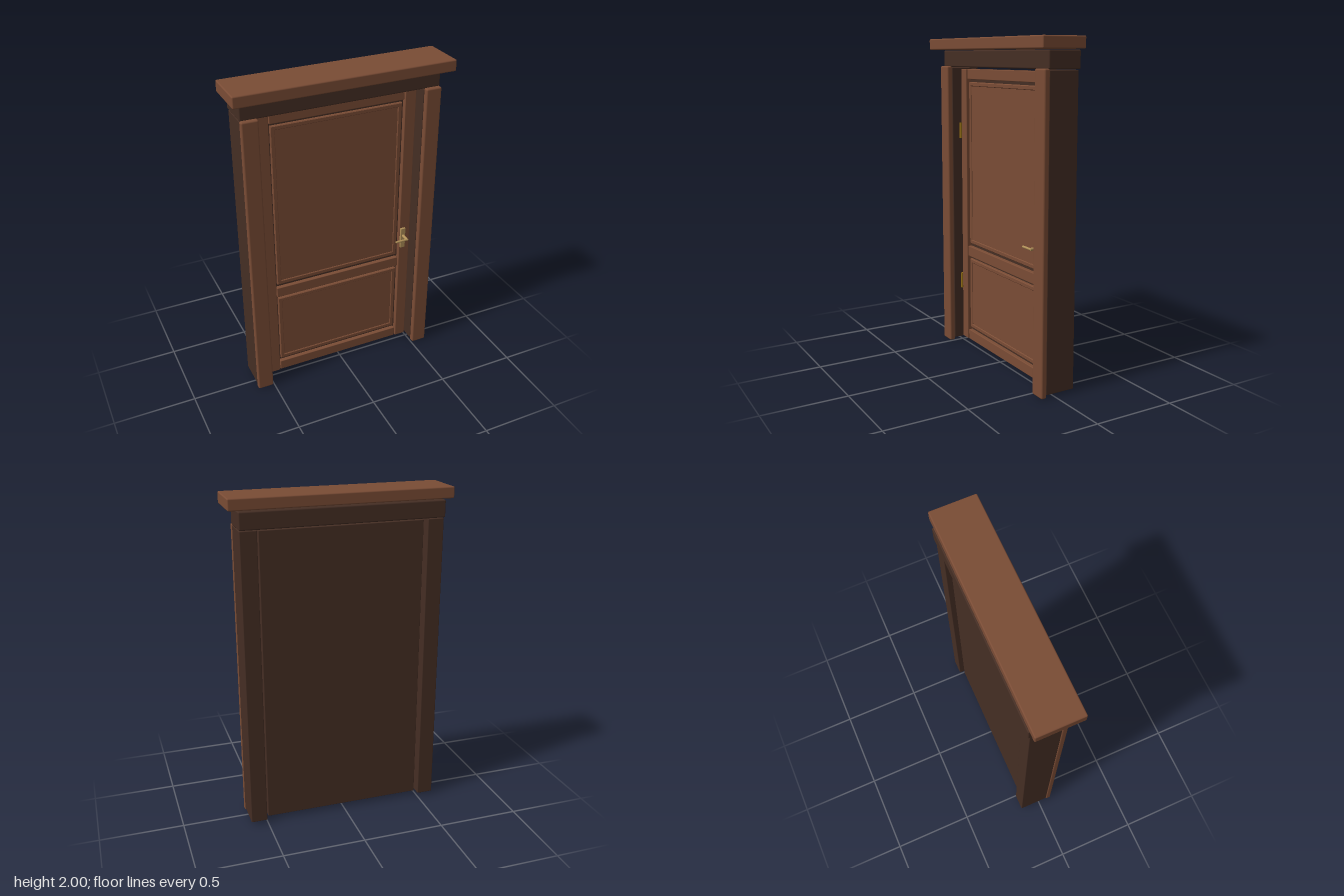
import * as THREE from 'three';
import { RoundedBoxGeometry } from 'three/addons/geometries/RoundedBoxGeometry.js';

const material = (name, color) => {
  const m = new THREE.MeshStandardMaterial({ color });
  m.name = name;
  return m;
};

export function createModel() {
  const wood = material('brown wood', 0x7a4c35);
  const dark = material('dark wood', 0x452e24);
  const brass = material('brass', 0xb09058);
  const gold = material('hinge gold', 0x8f6a14);
  const door = new THREE.Group();
  door.name = 'door';

  const add = (name, geometry, mat) => {
    const mesh = new THREE.Mesh(geometry, mat);
    mesh.name = name;
    door.add(mesh);
    return mesh;
  };

  // Softly bevelled box given by its limits on each axis
  const block = (name, mat, [x0, x1], [y0, y1], [z0, z1], r = 0.005) => {
    const g = new RoundedBoxGeometry(x1 - x0, y1 - y0, z1 - z0, 2, r);
    g.translate((x0 + x1) / 2, (y0 + y1) / 2, (z0 + z1) / 2);
    return add(name, g, mat);
  };

  // Flat rectangular ring with a small bevel, used as panel moulding
  const ring = (name, [x0, x1], [y0, y1], width, z, depth) => {
    const rect = (Type, i) => {
      const p = new Type();
      p.moveTo(x0 + i, y0 + i);
      p.lineTo(x1 - i, y0 + i);
      p.lineTo(x1 - i, y1 - i);
      p.lineTo(x0 + i, y1 - i);
      p.closePath();
      return p;
    };
    const b = 0.004;
    const shape = rect(THREE.Shape, b);
    shape.holes.push(rect(THREE.Path, width - b));
    const g = new THREE.ExtrudeGeometry(shape, {
      depth: depth - b, bevelThickness: b, bevelSize: b, bevelSegments: 1,
    });
    g.translate(0, 0, z);
    add(name, g, wood);
  };

  // Head of the frame
  block('cornice', wood, [-0.66, 0.66], [1.932, 2.0], [-0.135, 0.14], 0.008);
  block('lintel', dark, [-0.605, 0.605], [1.826, 1.928], [-0.142, 0.064], 0.008);

  // Jambs and their front casings
  for (const s of [-1, 1]) {
    const side = s < 0 ? 'right' : 'left';
    const span = (a, b) => (s < 0 ? [-b, -a] : [a, b]);
    block(side + 'Jamb', dark, span(0.503, 0.602), [0.018, 1.822], [-0.13, 0.058]);
    block(side + 'Casing', wood, span(0.506, 0.605), [0, 1.83], [0.054, 0.09], 0.01);
  }

  // Door leaf: dark core with brown stiles and rails on the front
  block('doorCore', dark, [-0.489, 0.489], [0.025, 1.813], [-0.1, -0.03], 0.003);
  block('rightStile', wood, [-0.491, -0.423], [0.025, 1.813], [-0.032, 0], 0.004);
  block('leftStile', wood, [0.42, 0.491], [0.025, 1.813], [-0.032, 0], 0.004);
  for (const [name, y0, y1] of [['bottomRail', 0.025, 0.09], ['middleRail', 0.598, 0.665], ['topRail', 1.75, 1.813]]) {
    block(name, wood, [-0.418, 0.415], [y0, y1], [-0.032, -0.004], 0.004);
  }

  // Panels with a moulding set inside a dark groove
  for (const [name, y0, y1] of [['lower', 0.108, 0.58], ['upper', 0.685, 1.732]]) {
    ring(name + 'Moulding', [-0.41, 0.407], [y0, y1], 0.026, -0.032, 0.02);
    block(name + 'Panel', wood, [-0.386, 0.383], [y0 + 0.024, y1 - 0.024], [-0.04, -0.018], 0.003);
  }

  // Handle: plate, spindle and lever
  block('handlePlate', brass, [0.423, 0.457], [0.742, 0.883], [-0.004, 0.012], 0.004);
  const spindle = add('handleSpindle', new THREE.CylinderGeometry(0.009, 0.009, 0.06, 16), brass);
  spindle.rotation.x = Math.PI / 2;
  spindle.position.set(0.44, 0.83, 0.036);
  const lever = add('handleLever', new THREE.CapsuleGeometry(0.007, 0.077, 4, 12), brass);
  lever.rotation.z = Math.PI / 2;
  lever.position.set(0.404, 0.83, 0.064);

  // Hinges in the gap beside the leaf
  for (const [name, y] of [['lowerHinge', 0.415], ['upperHinge', 1.42]]) {
    const hinge = add(name, new THREE.CylinderGeometry(0.009, 0.009, 0.1, 16), gold);
    hinge.position.set(-0.496, y, 0.003);
  }
  return door;
}
